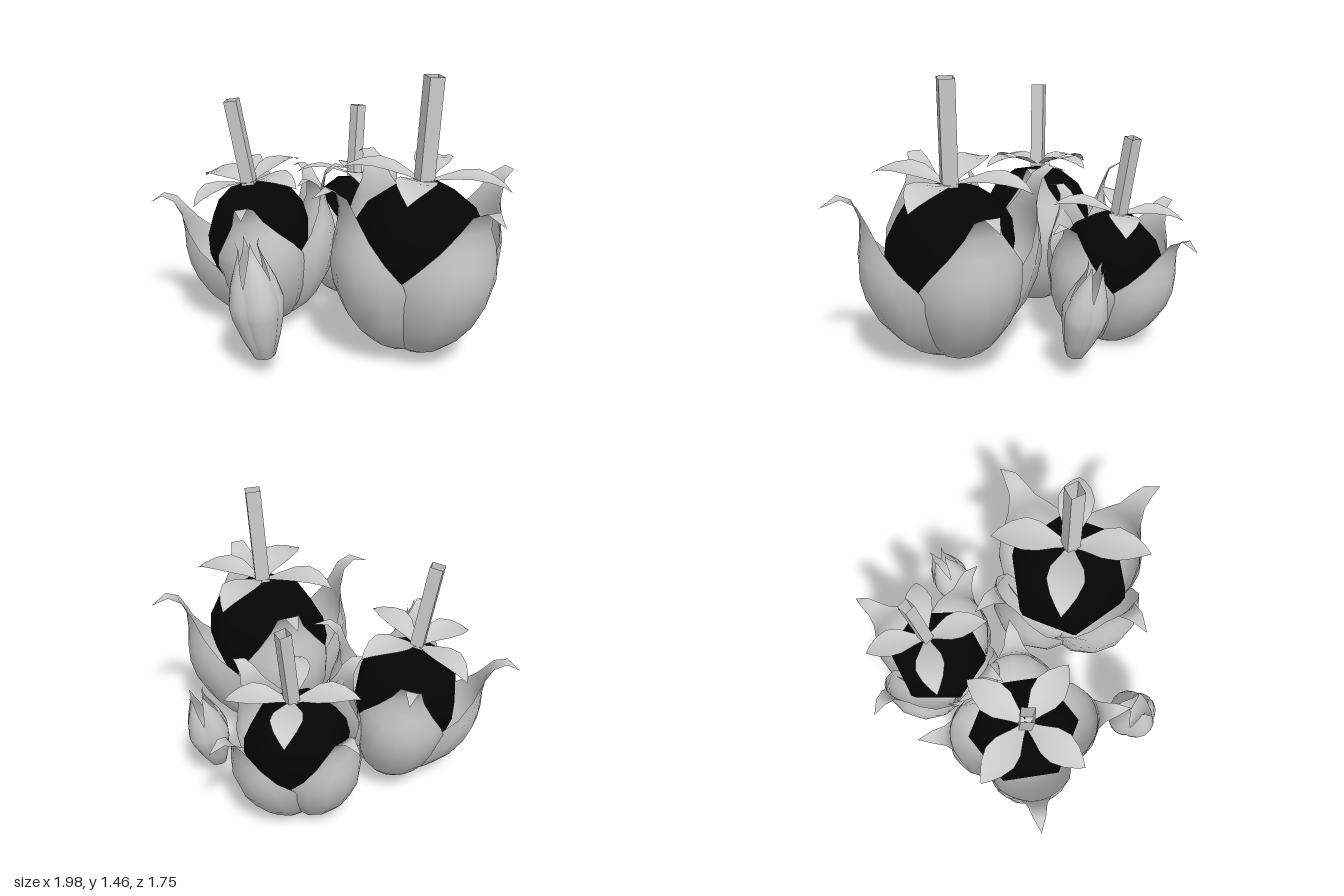
import * as THREE from 'three';

const grey = new THREE.MeshStandardMaterial({ color: 0xcccccc, side: THREE.DoubleSide });
const black = new THREE.MeshStandardMaterial({ color: 0x050505 });

// Rows of [radius, height, half angle in degrees] from foot to tip
const CUP = [[0.02, 0.02, 46], [0.15, 0, 47], [0.215, 0.035, 48], [0.3, 0.11, 49], [0.385, 0.22, 50],
  [0.445, 0.35, 51], [0.468, 0.46, 46], [0.465, 0.56, 34], [0.448, 0.66, 22], [0.445, 0.76, 12],
  [0.475, 0.85, 7], [0.54, 0.89, 4], [0.63, 0.85, 0]];
const BUD = [[0.01, 0, 50], [0.055, 0.005, 50], [0.095, 0.11, 51], [0.13, 0.23, 52], [0.138, 0.3, 51],
  [0.115, 0.4, 46], [0.085, 0.48, 34], [0.06, 0.54, 20], [0.05, 0.58, 11], [0.06, 0.62, 0]];
// Rows of [distance, height, half width] for one calyx leaf
const LEAF = [[0.01, 0.87, 0.015], [0.08, 0.895, 0.045], [0.17, 0.92, 0.09], [0.25, 0.93, 0.1],
  [0.33, 0.92, 0.072], [0.39, 0.9, 0.034], [0.43, 0.875, 0]];

// Skin a grid of points: point(row, u) with u from -1 to 1 across the row
function surface(rows, across, point) {
  const pos = [], index = [];
  rows.forEach((row, i) => {
    for (let j = 0; j <= across; j++) {
      pos.push(...point(row, (j / across) * 2 - 1));
      if (i && j) {
        const d = i * (across + 1) + j, c = d - 1, b = d - across - 1, a = b - 1;
        index.push(a, c, b, b, c, d);
      }
    }
  });
  const g = new THREE.BufferGeometry();
  g.setAttribute('position', new THREE.Float32BufferAttribute(pos, 3));
  g.setIndex(index);
  g.computeVertexNormals();
  return g;
}

// Petal facing +x, flatter than a circle; one edge sits further out so neighbours overlap
const petalGeometry = (rows, flatness) => surface(rows, 6, ([r, h, half], u) => {
  const t = (half * u) / 50, a = THREE.MathUtils.degToRad(half) * u;
  const k = r * (1 - flatness * t * t - 0.02 * t);
  return [k * Math.cos(a), h, k * Math.sin(a)];
});

const leafGeometry = surface(LEAF, 4, ([d, h, w], u) => [d, h + 0.12 * w * u * u, w * u]);

const berryGeometry = new THREE.LatheGeometry(
  [[0, 0.12], [0.13, 0.14], [0.25, 0.26], [0.325, 0.42], [0.345, 0.52], [0.33, 0.64], [0.27, 0.75],
    [0.15, 0.84], [0, 0.86]].map(([x, y]) => new THREE.Vector2(x, y)), 6);

function add(parent, name, geometry, material) {
  const mesh = new THREE.Mesh(geometry, material);
  mesh.name = name;
  parent.add(mesh);
  return mesh;
}

// Four copies around the axis, starting at an offset angle
function ring(parent, name, geometry, offset = 0) {
  for (let i = 0; i < 4; i++) {
    add(parent, name, geometry, grey).rotation.y = offset + (i * Math.PI) / 2;
  }
}

// Outer group leans along the axis, inner group turns about it
function place(parent, name, base, axis, turn, scale) {
  const lean = new THREE.Group(), spin = new THREE.Group();
  lean.name = name;
  lean.position.set(...base);
  lean.quaternion.setFromUnitVectors(new THREE.Vector3(0, 1, 0), new THREE.Vector3(...axis).normalize());
  lean.scale.setScalar(scale);
  spin.rotation.y = THREE.MathUtils.degToRad(turn);
  lean.add(spin);
  parent.add(lean);
  return spin;
}

export function createModel() {
  const model = new THREE.Group();
  model.name = 'flowerCluster';
  const cupPetal = petalGeometry(CUP, 0.27), budPetal = petalGeometry(BUD, 0.15);

  // Cupped flowers, each holding a dark berry with a calyx and stem
  [
    ['largeFlower', [0.375, 0.06, 0.335], [0.06, 1, 0], 28.5, 1],
    ['mediumFlower', [-0.335, 0.05, -0.045], [-0.175, 1, 0], 0, 0.875],
    ['smallFlower', [0.075, 0.017, -0.4], [0.055, 1, -0.14], 49, 0.79],
  ].forEach((spec) => {
    const f = place(model, ...spec);
    ring(f, 'cupPetal', cupPetal);
    add(f, 'berry', berryGeometry, black);
    ring(f, 'calyxLeaf', leafGeometry, Math.PI / 4);
    const stem = add(f, 'stem', new THREE.CylinderGeometry(0.055, 0.055, 0.53, 4, 1, true).toNonIndexed(), grey);
    stem.geometry.computeVertexNormals();
    stem.position.y = 1.13;
    stem.rotation.y = 0.6;
  });

  // Closed buds
  [
    ['frontBud', [-0.36, 0.1, 0.575], [-0.12, 1, -0.02], 20, 1],
    ['sideBud', [0.57, 0.12, -0.28], [0.13, 1, -0.2], 60, 0.83],
  ].forEach((spec) => ring(place(model, ...spec), 'budPetal', budPetal));

  return model;
}
